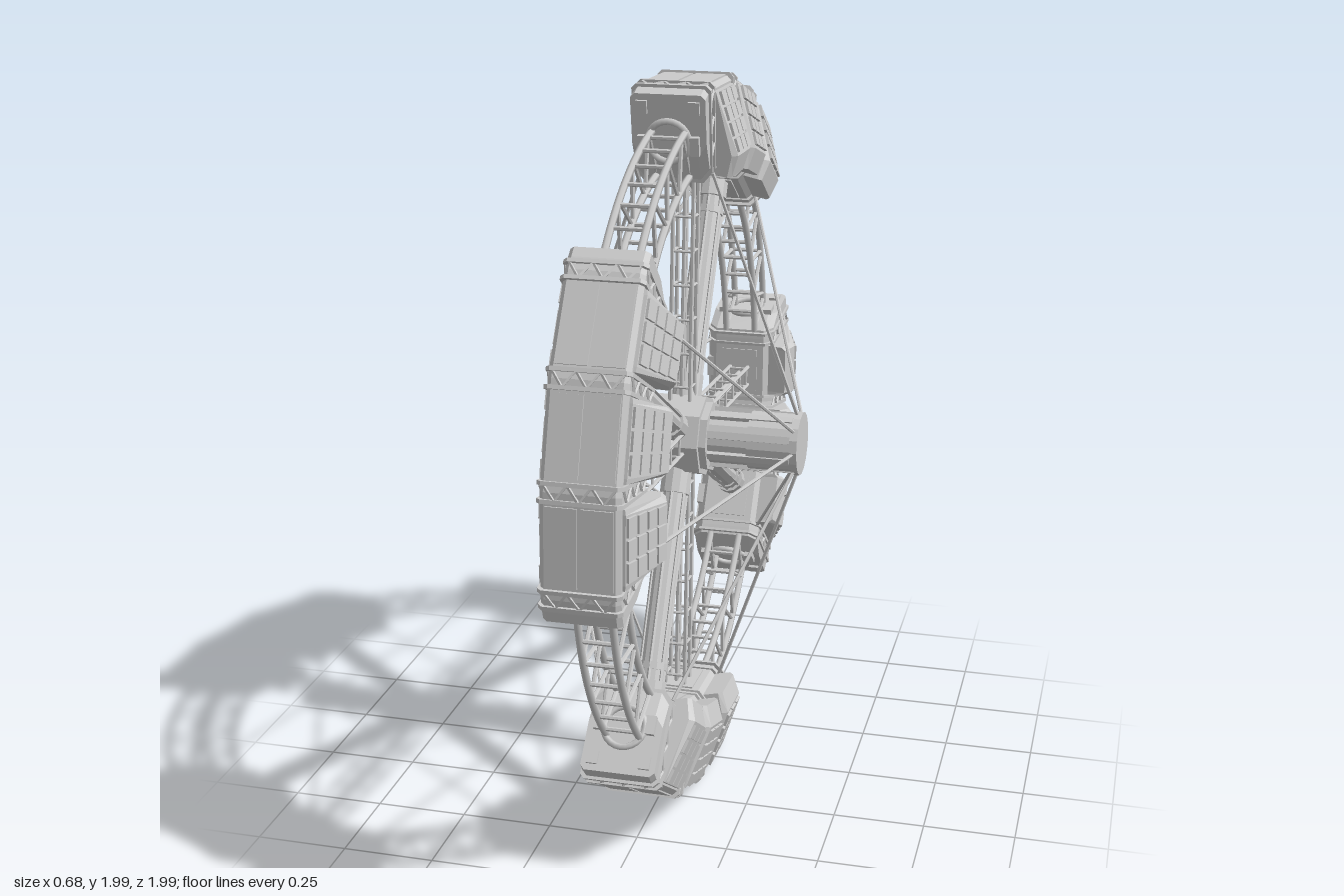
import * as THREE from 'three';
import { mergeGeometries } from 'three/addons/utils/BufferGeometryUtils.js';

const flat = new THREE.MeshStandardMaterial({ color: 0xcccccc, flatShading: true });
const smooth = new THREE.MeshStandardMaterial({ color: 0xcccccc });
const rad = THREE.MathUtils.degToRad;

// point in the wheel plane: angle in degrees, radius, offset along the axle
const polar = (deg, r, z) => new THREE.Vector3(Math.cos(rad(deg)) * r, Math.sin(rad(deg)) * r, z);

// solid skinned over sections {a: angle, p: [[z, r], ...] counter-clockwise}, angles ascending
function loft(sections) {
  const rings = sections.map(s => s.p.map(([z, r]) => polar(s.a, r, z)));
  const out = [];
  const tri = (...v) => v.forEach(p => out.push(p.x, p.y, p.z));
  const n = rings[0].length;
  for (let k = 0; k + 1 < rings.length; k++) {
    const s = rings[k], t = rings[k + 1];
    for (let i = 0; i < n; i++) {
      const j = (i + 1) % n;
      tri(s[i], s[j], t[j]);
      tri(s[i], t[j], t[i]);
    }
  }
  const first = rings[0], last = rings[rings.length - 1];
  for (let i = 1; i < n - 1; i++) {
    tri(first[0], first[i + 1], first[i]);
    tri(last[0], last[i], last[i + 1]);
  }
  const g = new THREE.BufferGeometry();
  g.setAttribute('position', new THREE.Float32BufferAttribute(out, 3));
  g.computeVertexNormals();
  return g;
}

// straight bar between two points
function rod(a, b, r, sides = 6) {
  const d = b.clone().sub(a);
  const g = new THREE.CylinderGeometry(r, r, d.length(), sides);
  g.applyQuaternion(new THREE.Quaternion().setFromUnitVectors(new THREE.Vector3(0, 1, 0), d.normalize()));
  return g.translate((a.x + b.x) / 2, (a.y + b.y) / 2, (a.z + b.z) / 2);
}

// box centred at a polar position, sized radial x tangential x axial
function block(deg, r, z, sr, st, sz) {
  return new THREE.BoxGeometry(sr, st, sz).translate(r, 0, z).rotateZ(rad(deg));
}

// one named mesh from several geometries, brought to the same attributes
function add(parent, name, geos, mat = flat) {
  const parts = geos.map(g => (g.index ? g.toNonIndexed() : g).deleteAttribute('uv'));
  const m = new THREE.Mesh(mergeGeometries(parts), mat);
  m.name = name;
  parent.add(m);
}

// chamfered hull cross-section between two radii
const hull = (ri, ro, w = 0.1) => [[-w + 0.025, ri], [w - 0.025, ri], [w, ri + 0.03], [w, ro - 0.012],
  [w - 0.012, ro], [-w + 0.012, ro], [-w, ro - 0.012], [-w, ri + 0.03]];

const STEP = 15.5, MID = 72, HALF = 27;
const joints = [-1.5, -0.5, 0.5, 1.5].map(k => MID + k * STEP);
const centres = [-1, 0, 1].map(k => MID + k * STEP);

function makePod() {
  const pod = new THREE.Group();
  pod.name = 'habitatPod';

  // faceted hull with sloped end caps
  const end = hull(0.82, 0.985), near = hull(0.75, 0.99);
  add(pod, 'podHull', [loft([
    { a: MID - HALF, p: end }, { a: MID - HALF + 1.7, p: near },
    ...joints.map(a => ({ a, p: hull(0.745, 0.993) })),
    { a: MID + HALF - 1.7, p: near }, { a: MID + HALF, p: end }])]);

  // double ribs with lattice at every joint
  const ribs = [], lattice = [];
  for (const a of joints) {
    for (const d of [-1.25, 1.25]) {
      const p = hull(0.738, 0.999, 0.106);
      ribs.push(loft([{ a: a + d - 0.3, p }, { a: a + d + 0.3, p }]));
    }
    for (let i = 0; i < 6; i++) {
      const s = i % 2 ? 1 : -1, r = 0.77 + i * 0.035, x = -0.09 + i * 0.03;
      for (const z of [-0.102, 0.102])
        lattice.push(rod(polar(a + s * 1.2, r, z), polar(a - s * 1.2, r + 0.035, z), 0.004, 4));
      lattice.push(rod(polar(a + s * 1.2, 0.994, x), polar(a - s * 1.2, 0.994, x + 0.03), 0.004, 4));
    }
  }
  add(pod, 'jointRibs', ribs);
  add(pod, 'jointLattice', lattice);

  // tiled bays on one side, plates on the other sides
  const bays = [], tiles = [], plates = [];
  const bayProfile = k => [[0.09, 0.752], [0.1 + 0.045 * k, 0.742], [0.1 + 0.063 * k, 0.8],
    [0.1 + 0.008 * k, 0.97], [0.09, 0.97]];
  const slope = Math.atan2(0.055, 0.17);
  for (const c of centres) {
    bays.push(loft([[-6, 0.75], [-5.2, 1], [5.2, 1], [6, 0.75]].map(([d, k]) => ({ a: c + d, p: bayProfile(k) }))));
    for (let row = 0; row < 4; row++) {
      const r = 0.823 + row * 0.041;
      for (let col = -1; col <= 1; col++) {
        const t = r * rad(10.2) / 3;
        const g = new THREE.BoxGeometry(0.036, t * 0.86, 0.012).rotateY(slope)
          .translate(r, col * t, 0.163 - (r - 0.8) * 0.3235);
        tiles.push(g.rotateZ(rad(c)));
      }
    }
    // trapezoid plate and service boxes on the far side
    const plate = (ri, ro) => [[-0.109, ri], [-0.095, ri], [-0.095, ro], [-0.109, ro]];
    plates.push(loft([{ a: c - 5.5, p: plate(0.79, 0.83) }, { a: c - 2.5, p: plate(0.79, 0.95) },
      { a: c + 2.5, p: plate(0.79, 0.95) }, { a: c + 5.5, p: plate(0.79, 0.83) }]));
    for (const d of [-5, 5]) plates.push(block(c + d, 0.94, -0.1, 0.04, 0.05, 0.016));
    plates.push(block(c, 0.765, -0.09, 0.03, 0.06, 0.03));
    // outer skin and inner floor plates
    for (const z of [-0.045, 0.045]) plates.push(block(c, 0.984, z, 0.008, 0.2, 0.08));
    plates.push(block(c, 0.739, 0, 0.01, 0.13, 0.11));
  }
  add(pod, 'tiledBays', bays);
  add(pod, 'bayTiles', tiles);
  add(pod, 'hullPlates', plates);

  // docking collars and latch blocks on the end caps
  const collars = [], latches = [];
  for (const s of [-1, 1]) {
    const a = MID + s * HALF;
    collars.push(new THREE.TorusGeometry(0.055, 0.009, 6, 24).rotateX(Math.PI / 2)
      .translate(0.86, s * 0.006, 0).rotateZ(rad(a)));
    for (const z of [-0.07, 0.07]) {
      latches.push(block(a, 0.85, z, 0.05, 0.03, 0.025));
      latches.push(block(a, 0.95, z, 0.035, 0.016, 0.03));
    }
  }
  add(pod, 'dockingCollars', collars, smooth);
  add(pod, 'endLatches', latches);
  return pod;
}

// curved truss bridging the gap after a pod
function makeTruss() {
  const truss = new THREE.Group();
  truss.name = 'ringTruss';
  const from = MID + HALF - 2, span = 90 - 2 * HALF + 4;
  const rails = [], braces = [];
  for (const z of [-0.045, 0.045]) {
    for (const r of [0.755, 0.885])
      rails.push(new THREE.TorusGeometry(r, 0.01, 6, 20, rad(span)).rotateZ(rad(from)).translate(0, 0, z));
    for (let i = 0; i < 8; i++) {
      const a = from + (span * i) / 8, b = from + (span * (i + 0.8)) / 8;
      braces.push(rod(polar(a, i % 2 ? 0.885 : 0.755, z), polar(b, i % 2 ? 0.755 : 0.885, z), 0.006));
    }
  }
  for (let i = 1; i < 8; i++)
    for (const r of [0.755, 0.885]) {
      const a = from + (span * i) / 8;
      braces.push(rod(polar(a, r, -0.045), polar(a, r, 0.045), 0.006));
    }
  add(truss, 'trussRails', rails, smooth);
  add(truss, 'trussBraces', braces);
  return truss;
}

// solid tube spoke, open lattice spoke and stay cables for one quarter
function makeSpokes() {
  const g = new THREE.Group();
  g.name = 'spokes';
  const seg = (r0, r1, w) => rod(polar(60, r0, 0), polar(60, r1, 0), w, 12);
  const tube = [seg(0.08, 0.75, 0.034), seg(0.1, 0.17, 0.042), seg(0.64, 0.66, 0.039), seg(0.69, 0.75, 0.043)];
  for (let i = 0; i < 6; i++)
    tube.push(rod(new THREE.Vector3(0.17, 0, 0), new THREE.Vector3(0.69, 0, 0), 0.005, 4)
      .translate(0, Math.cos(i * Math.PI / 3) * 0.035, Math.sin(i * Math.PI / 3) * 0.035).rotateZ(rad(60)));
  add(g, 'tubeSpoke', tube);

  const lattice = [];
  const bar = (x0, y0, z0, x1, y1, z1, w) =>
    lattice.push(rod(new THREE.Vector3(x0, y0, z0), new THREE.Vector3(x1, y1, z1), w).rotateZ(rad(86)));
  const c = 0.028;
  for (const s of [-1, 1]) {
    for (const t of [-1, 1]) bar(0.09, s * c, t * c, 0.75, s * c, t * c, 0.006);
    bar(0.09, s * 0.01, 0, 0.75, s * 0.01, 0, 0.006);
    for (let i = 0; i < 7; i++) {
      const x = 0.14 + i * 0.095;
      bar(x, -c, s * c, x, c, s * c, 0.004);
      bar(x, s * c, -c, x, s * c, c, 0.004);
    }
  }
  add(g, 'latticeSpoke', lattice);

  const cables = [];
  for (const a of [50, 94])
    for (const s of [-1, 1])
      cables.push(rod(polar(a, 0.08, s * 0.33), polar(a, 0.755, s * 0.098), 0.005));
  add(g, 'stayCables', cables);
  return g;
}

function makeHub() {
  const hub = new THREE.Group();
  hub.name = 'hub';
  const drum = (r, z0, z1, n) => rod(new THREE.Vector3(0, 0, z0), new THREE.Vector3(0, 0, z1), r, n);
  add(hub, 'axle', [drum(0.074, -0.33, 0.33, 16)]);
  add(hub, 'centreBlock', [drum(0.115, -0.07, 0.07, 8), drum(0.1, -0.09, 0.09, 8)]);
  const shells = [], ribs = [];
  for (const s of [-1, 1]) {
    shells.push(drum(0.082, s * 0.2, s * 0.325, 16), drum(0.088, s * 0.325, s * 0.342, 16));
    for (let i = 0; i < 8; i++)
      ribs.push(block(i * 45 + 22.5, 0.077, s * 0.2, 0.014, 0.02, 0.24));
  }
  add(hub, 'axleShells', shells);
  add(hub, 'axleRibs', ribs);
  return hub;
}

export function createModel() {
  const model = new THREE.Group();
  model.name = 'wheelStation';
  const wheel = new THREE.Group();
  wheel.name = 'wheel';
  // four identical quarters around the axle
  for (let q = 0; q < 4; q++) {
    const quarter = new THREE.Group();
    quarter.name = 'quarter';
    quarter.add(makePod(), makeTruss(), makeSpokes());
    quarter.rotation.z = q * Math.PI / 2;
    wheel.add(quarter);
  }
  wheel.add(makeHub());
  // lay the axle along x and stand the wheel on the ground
  wheel.rotation.y = Math.PI / 2;
  wheel.position.y = 1;
  model.add(wheel);
  return model;
}
